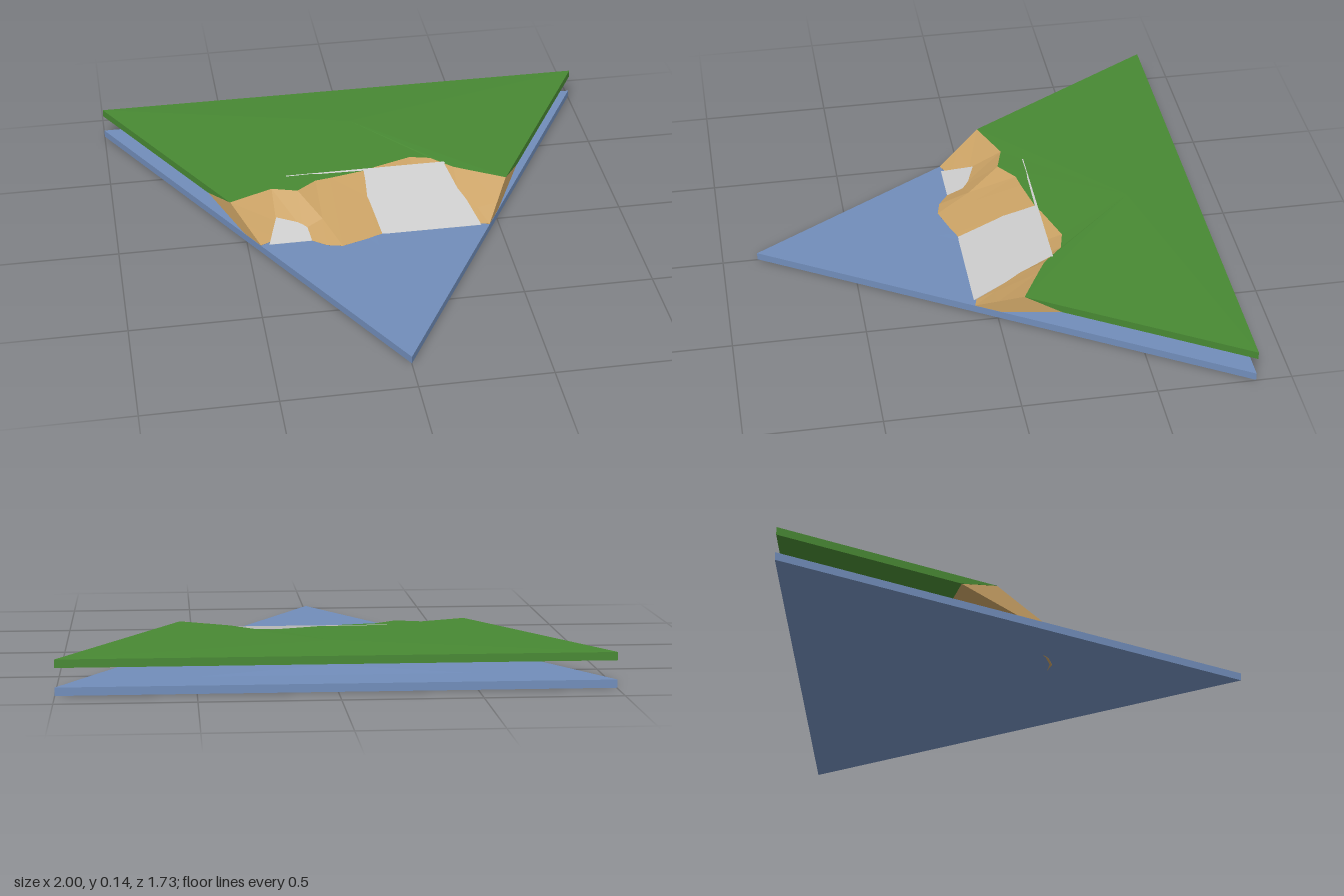
import * as THREE from 'three';

const halfWidth = z => (0.866 - z) / Math.sqrt(3);

// Skin over closed rings of equal length; both ends are closed at their centres.
function loft(name, color, rings, startTip, endTip) {
  const n = rings[0].length;
  const mean = r => r.reduce((s, p) => s.add(new THREE.Vector3(...p)), new THREE.Vector3()).divideScalar(n).toArray();
  const first = startTip ?? mean(rings[0]);
  const last = endTip ?? mean(rings[rings.length - 1]);
  const pos = [];
  const tri = (...pts) => pts.forEach(p => pos.push(...p));
  for (let i = 0; i < n; i++) {
    const j = (i + 1) % n;
    tri(first, rings[0][j], rings[0][i]);
    for (let k = 0; k < rings.length - 1; k++) {
      const a = rings[k], b = rings[k + 1];
      tri(a[i], a[j], b[j]);
      tri(a[i], b[j], b[i]);
    }
    const end = rings[rings.length - 1];
    tri(end[i], end[j], last);
  }
  const geometry = new THREE.BufferGeometry();
  geometry.setAttribute('position', new THREE.Float32BufferAttribute(pos, 3));
  geometry.computeVertexNormals();
  const mesh = new THREE.Mesh(geometry, new THREE.MeshStandardMaterial({ color, flatShading: true }));
  mesh.name = name;
  return mesh;
}

// Slope stations: x, z of the shoreline, z and y of the mid slope, z of the cliff top
const stations = [
  [-1, 0.08, 0.0, 0.077, -0.09],
  [-0.38, 0.045, -0.03, 0.063, -0.16],
  [-0.28, 0.06, 0.02, 0.045, -0.13],
  [-0.2, 0.12, 0.0, 0.075, -0.19],
  [-0.14, 0.135, -0.02, 0.077, -0.2],
  [0.0, 0.09, -0.1, 0.088, -0.23],
  [0.05, 0.07, -0.1, 0.07, -0.25],
  [0.2, 0.06, -0.1, 0.065, -0.3],
  [0.28, 0.06, -0.1, 0.07, -0.28],
  [0.36, 0.05, -0.06, 0.071, -0.2],
  [0.42, 0.07, 0.0, 0.06, -0.165],
  [1, 0.08, 0.0, 0.077, -0.09],
];
// The outermost stations follow the slanted sides of the tile
const stationX = (x, z) => (Math.abs(x) === 1 ? x * halfWidth(z) : x);
const underZ = zTop => Math.max(zTop - 0.13, -0.35);

export function createModel() {
  const group = new THREE.Group();
  group.name = 'coastTile';

  // Water: full triangle with a slight swell
  const swell = [0, 0.039, -0.55];
  const triangle = y => [[0, y, 0.866], [1, y, -0.866], [-1, y, -0.866]];
  const swellRing = triangle(0.031).map(p => [p[0] / 2, p[1], (p[2] + swell[2]) / 2]);
  group.add(loft('water', 0x718dba, [triangle(0), triangle(0.03), swellRing], null, swell));

  // Grass: upper slab with a ragged front edge that slants under
  const grass = (y, zOf) => [
    ...stations.map(([x, , , , zTop]) => [stationX(x, zOf(zTop)), y, zOf(zTop)]),
    [1, y, -0.866], [-1, y, -0.866],
  ];
  group.add(loft('grass', 0x488933, [grass(0.1, underZ), grass(0.13, z => z)],
    [0, 0.1, -0.6], [0, 0.139, -0.6]));

  // Sand: uneven sloping bank from the grass down to the water
  const bank = stations.map(([x, zShore, zMid, yMid, zTop]) => {
    const bulge = zShore > 0.1;
    return [
      [bulge ? -0.002 : 0.003, zShore - 0.014],
      [0.1, underZ(zTop)],
      [0.13, zTop],
      [yMid, zMid],
      [0.031, zShore],
    ].map(([y, z]) => [stationX(x, z) * 0.998, y, z]);
  });
  group.add(loft('sandBank', 0xc9a164, bank));

  // Ramp: flat sloping slab half buried in the bank
  const ramp = drop => [
    [-0.42, 0.031 - drop, 0.08], [0.42, 0.031 - drop, 0.08],
    [0.33, 0.133 - drop, -0.24], [-0.31, 0.133 - drop, -0.24],
  ];
  group.add(loft('ramp', 0xcccccc, [ramp(0.012), ramp(0)]));

  return group;
}
